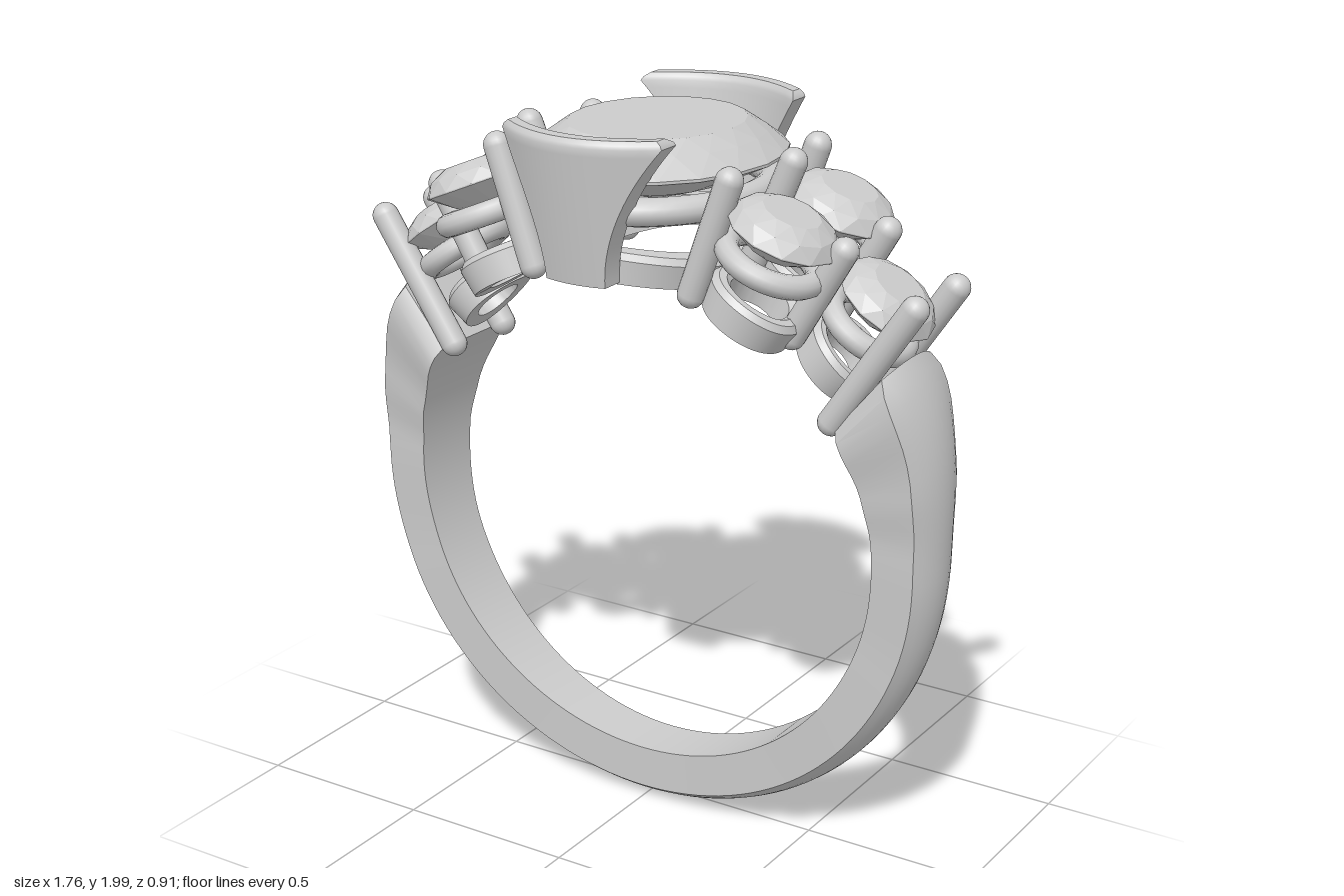
import * as THREE from 'three';
import { toCreasedNormals } from 'three/addons/utils/BufferGeometryUtils.js';

const CY = 0.885, RI = 0.725; // finger hole centre height and radius
const metal = new THREE.MeshStandardMaterial({ color: 0xcccccc });
const stone = new THREE.MeshStandardMaterial({ color: 0xcccccc, flatShading: true });
const V = (x, y, z) => new THREE.Vector3(x, y, z);
const rad = THREE.MathUtils.degToRad;

function add(parent, name, geo, mat = metal) {
  const m = new THREE.Mesh(geo, mat);
  m.name = name;
  parent.add(m);
  return m;
}

// Piecewise-linear lookup in [key, value] pairs
function lerpTable(table, k) {
  let i = 0;
  while (i < table.length - 2 && k > table[i + 1][0]) i++;
  const [a, va] = table[i], [b, vb] = table[i + 1];
  return va + (vb - va) * THREE.MathUtils.smoothstep(k, a, b);
}

// Closed solid through a list of equal-length sections
function loft(rows, crease = 0.6) {
  const n = rows[0].length, pos = [], idx = [];
  rows.forEach(r => r.forEach(p => pos.push(p.x, p.y, p.z)));
  for (let j = 0; j < rows.length - 1; j++)
    for (let i = 0; i < n; i++) {
      const a = j * n + i, b = j * n + (i + 1) % n;
      idx.push(a, b, a + n, b, b + n, a + n);
    }
  const o = (rows.length - 1) * n;
  for (let i = 0; i < n / 2 - 1; i++) {
    const q = [i, i + 1, n - 2 - i, n - 1 - i];
    idx.push(q[0], q[2], q[1], q[0], q[3], q[2]);
    idx.push(o + q[0], o + q[1], o + q[2], o + q[0], o + q[2], o + q[3]);
  }
  const g = new THREE.BufferGeometry();
  g.setAttribute('position', new THREE.Float32BufferAttribute(pos, 3));
  g.setIndex(idx);
  return toCreasedNormals(g, crease);
}

// Shank: flat sides and bore, crowned outside, widening to the shoulders
function bandGeometry() {
  const width = [[-90, 0.08], [-20, 0.1], [5, 0.112], [15, 0.13], [28, 0.16], [31, 0.158], [34, 0.135]];
  const outer = [[-90, 0.88], [0, 0.88], [34, 0.955]];
  const rows = [], N = 96, E = 31;
  for (let j = 0; j <= N; j++) {
    const th = -180 - E - 0 + (180 + 2 * E) * (j / N); // from left shoulder under to right
    const side = th < -90 ? -1 : 1;
    const k = side > 0 ? th : -180 - th;
    const w = lerpTable(width, k + 3 * THREE.MathUtils.smoothstep(k, 20, E));
    const R = lerpTable(outer, k);
    const sec = [[RI, -w], [RI, w]];
    for (let i = 0; i <= 9; i++) {
      const u = 1 - 2 * i / 9;
      sec.push([R - 0.035 * u * u, w * u]);
    }
    sec.push([R - 0.035, -w]);
    rows.push(sec.map(([r, z]) => {
      // Shoulder ends lean upward along the prongs
      const lean = 5 * (r - RI) / 0.225 * THREE.MathUtils.smoothstep(k, 0, E);
      const a = rad(th + side * lean);
      return V(Math.cos(a) * r, CY + Math.sin(a) * r, z);
    }));
  }
  return loft(rows);
}

// Wide flared claw holding the end of the centre stone
function clawGeometry() {
  const rows = [], N = 18, S = 12;
  for (let j = 0; j <= N + 2; j++) {
    const t = Math.min(j / N, 1), cap = Math.max(j - N, 0);
    const y = 1.61 + 0.37 * t + 0.01 * cap;
    const w = 0.09 + 0.15 * Math.pow(t, 1.8) - 0.004 * cap * cap;
    const z0 = 0.4 + 0.056 * t, inset = 0.004 * cap * cap, row = [];
    for (const [z, dir] of [[z0 - inset, 1], [z0 - 0.068 + inset, -1]])
      for (let i = 0; i <= S; i++) {
        const x = dir * w * (2 * i / S - 1);
        row.push(V(x, y, z - 1.7 * x * x));
      }
    rows.push(row);
  }
  return loft(rows);
}

// Base ring bent round the finger hole at an angle from the top
function baseRing(angle, z, ro, thick, wall, stretch = 1) {
  const h = thick, ri = ro - wall, c = 0.015;
  const prof = [[ri, 0], [ro, 0], [ro, h - c], [ro - c, h], [ri + c, h], [ri, h - c], [ri, 0]];
  const g = new THREE.LatheGeometry(prof.map(p => new THREE.Vector2(...p)), 48);
  const p = g.attributes.position;
  for (let i = 0; i < p.count; i++) {
    const a = angle + p.getX(i) / 0.76, r = RI + p.getY(i);
    p.setXYZ(i, Math.sin(a) * r, CY + Math.cos(a) * r, z + p.getZ(i) * stretch);
  }
  return toCreasedNormals(g, 0.6);
}

// Faceted stone, unit girdle radius at y = 0; alternate rows are turned half a facet
function gemGeometry(table, crown, pavilion, seg) {
  const rings = [[0, crown], [table, crown], [0.83, crown * 0.6], [1, 0.012], [1, -0.012],
    [0.55, -pavilion * 0.55], [0, -pavilion]];
  const turn = [0, 0, 0.5, 0, 0, 0.5, 0.5], pos = [], idx = [], n = seg;
  rings.forEach(([r, y], j) => {
    for (let i = 0; i < n; i++) {
      const a = (i + turn[j]) / n * Math.PI * 2;
      pos.push(Math.sin(a) * r, y, Math.cos(a) * r);
    }
  });
  for (let j = 0; j < rings.length - 1; j++)
    for (let i = 0; i < n; i++) {
      const a = j * n + i, b = j * n + (i + 1) % n;
      if (turn[j + 1] >= turn[j]) idx.push(a, a + n, b, b, a + n, b + n);
      else idx.push(a, a + n, b + n, a, b + n, b);
    }
  const g = new THREE.BufferGeometry();
  g.setAttribute('position', new THREE.Float32BufferAttribute(pos, 3));
  g.setIndex(idx);
  const flat = g.toNonIndexed();
  flat.computeVertexNormals();
  return flat;
}

// Round-ended wire between two points
function prong(parent, a, b, r = 0.037) {
  const d = b.clone().sub(a);
  const m = add(parent, 'prong', new THREE.CapsuleGeometry(r, d.length(), 8, 16));
  m.position.copy(a).addScaledVector(d, 0.5);
  m.quaternion.setFromUnitVectors(V(0, 1, 0), d.normalize());
}

// Small round stone on its gallery wire
function sideStone(parent, x, y, z, tilt, R) {
  const g = new THREE.Group();
  g.name = 'sideStone';
  g.position.set(x, y, z);
  g.rotation.z = -tilt;
  const gem = add(g, 'smallGem', gemGeometry(0.52, 0.4, 0.6, 12), stone);
  gem.scale.setScalar(R);
  const wire = add(g, 'galleryWire', new THREE.TorusGeometry(R - 0.03, 0.032, 12, 48));
  wire.rotation.x = Math.PI / 2;
  wire.position.y = -0.085;
  parent.add(g);
}

export function createModel() {
  const ring = new THREE.Group();
  ring.name = 'ring';
  add(ring, 'band', bandGeometry());

  // Centre setting
  const centre = new THREE.Group();
  centre.name = 'centreSetting';
  ring.add(centre);
  const gem = add(centre, 'centreGem', gemGeometry(0.68, 0.25, 0.4, 20), stone);
  gem.scale.set(0.335, 0.335, 0.385);
  gem.position.y = 1.88;
  const wire = add(centre, 'galleryWire', new THREE.TorusGeometry(0.29, 0.037, 14, 64));
  wire.rotation.x = Math.PI / 2;
  wire.scale.y = 1.16;
  wire.position.y = 1.795;
  add(centre, 'baseRing', baseRing(0, 0, 0.275, 0.08, 0.065, 1.24));
  for (const turn of [0, Math.PI])
    add(centre, 'flaredClaw', clawGeometry()).rotation.y = turn;

  // Three-stone clusters on both shoulders
  for (const s of [1, -1]) {
    const cluster = new THREE.Group();
    cluster.name = s > 0 ? 'leftCluster' : 'rightCluster';
    ring.add(cluster);
    sideStone(cluster, s * 0.69, 1.58, 0, s * rad(36), 0.143);
    add(cluster, 'baseRing', baseRing(s * rad(47), 0, 0.115, 0.09, 0.045));
    prong(cluster, V(s * 0.41, 1.9, 0), V(s * 0.28, 1.59, 0));
    for (const f of [1, -1]) {
      sideStone(cluster, s * 0.47, 1.76, f * 0.15, s * rad(23), 0.152);
      add(cluster, 'baseRing', baseRing(s * rad(30), f * 0.14, 0.13, 0.09, 0.05));
      prong(cluster, V(s * 0.6, 1.27, f * 0.115), V(s * 0.825, 1.605, f * 0.115));
      prong(cluster, V(s * 0.48, 1.48, f * 0.115), V(s * 0.625, 1.725, f * 0.115));
      prong(cluster, V(s * 0.245, 1.58, f * 0.225), V(s * 0.355, 1.89, f * 0.225));
    }
  }
  return ring;
}
